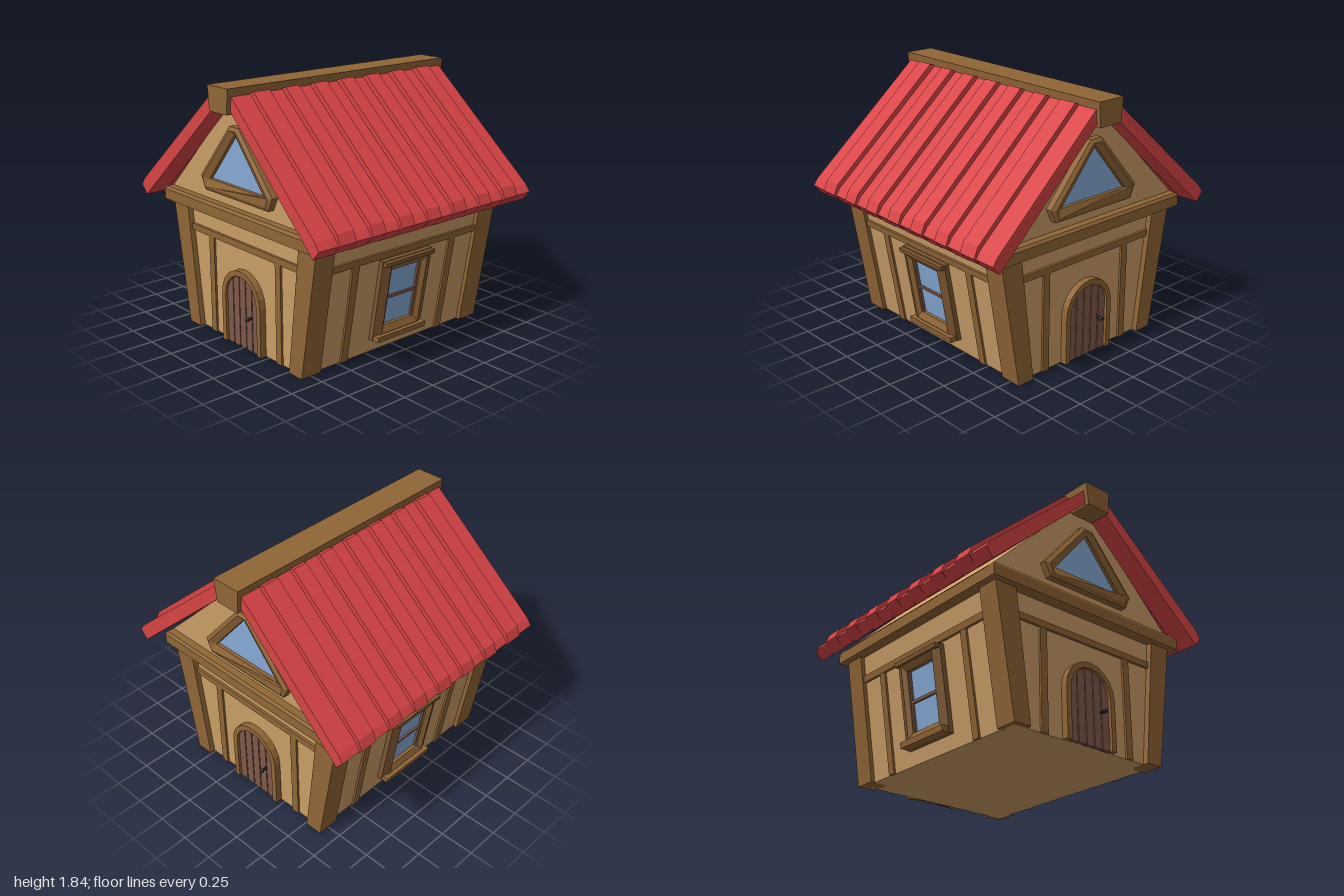
import * as THREE from 'three';

const COLORS = {
  plaster: 0xc99d66, wood: 0x8f6536, darkWood: 0x7c5630, roof: 0xd84446,
  glass: 0x86aad6, door: 0x80594a, groove: 0x3c2a22, iron: 0x2a2a2c,
};
const materials = {};
for (const key in COLORS) {
  materials[key] = new THREE.MeshStandardMaterial({ color: COLORS[key], flatShading: true });
}

const LEAN = 0.167; // outward lean of the side walls per unit of height

function add(group, name, geometry, material) {
  const mesh = new THREE.Mesh(geometry, materials[material]);
  mesh.name = name;
  group.add(mesh);
  return mesh;
}

function toShape(points) {
  return new THREE.Shape(points.map(([x, y]) => new THREE.Vector2(x, y)));
}

// Outline extruded along z from z0 to z1, optionally with a hole
function prism(points, z0, z1, hole) {
  const shape = toShape(points);
  if (hole) shape.holes.push(toShape(hole));
  return new THREE.ExtrudeGeometry(shape, { depth: z1 - z0, bevelEnabled: false }).translate(0, 0, z0);
}

const rect = (x0, x1, y0, y1) => [[x0, y0], [x1, y0], [x1, y1], [x0, y1]];
const mirrorX = (points) => points.map(([x, y]) => [-x, y]);

// Moves each vertex by a rule
function deform(geometry, rule) {
  const p = geometry.attributes.position;
  const v = new THREE.Vector3();
  for (let i = 0; i < p.count; i++) {
    rule(v.fromBufferAttribute(p, i));
    p.setXYZ(i, v.x, v.y, v.z);
  }
  geometry.computeVertexNormals();
  return geometry;
}

// Ring between two outlines whose front face slopes from outer depth to inner depth
function frameRing(outer, inner, zBack, zOuter, zInner) {
  const geometry = prism(outer, 0, 1, inner);
  return deform(geometry, (v) => {
    const onInner = inner.some(([x, y]) => Math.hypot(x - v.x, y - v.y) < 1e-4);
    v.z = v.z < 0.5 ? zBack : onInner ? zInner : zOuter;
  });
}

// Turns a front-facing part to the leaning +x wall
function toSide(geometry) {
  geometry.rotateY(Math.PI / 2).translate(0.61, 0, 0);
  return deform(geometry, (v) => { v.x += LEAN * v.y; });
}

function archOutline(radius, spring) {
  const points = [[-radius, 0], [radius, 0]];
  for (let i = 0; i <= 10; i++) {
    const a = (i / 10) * Math.PI;
    points.push([radius * Math.cos(a), spring + radius * Math.sin(a)]);
  }
  return points;
}

function createDoor() {
  const door = new THREE.Group();
  door.name = 'door';
  const spring = 0.35;
  const r = 0.175;
  const outer = archOutline(0.215, spring);
  const inner = archOutline(r, spring);
  // Open-bottomed arch made from one continuous outline
  const arch = [...outer.slice(1), [-0.215, 0], [-r, 0], ...inner.slice(2).reverse(), [r, 0]];
  add(door, 'doorFrame', prism(arch, 0.78, 0.838), 'wood');
  add(door, 'doorBacking', prism(inner, 0.78, 0.806), 'groove');
  // Planks cut to the arch
  const w = (2 * r) / 5;
  const top = (x) => spring + Math.sqrt(Math.max(0, r * r - x * x));
  for (let i = 0; i < 5; i++) {
    const a = -r + i * w + 0.004;
    const b = a + w - 0.008;
    const points = [[a, 0], [b, 0]];
    for (let j = 0; j <= 3; j++) {
      const x = b + ((a - b) * j) / 3;
      points.push([x, top(x) - 0.004]);
    }
    add(door, 'doorPlank', prism(points, 0.79, 0.82), 'door');
  }
  // Knob
  add(door, 'knobStem', new THREE.CylinderGeometry(0.007, 0.012, 0.04, 8)
    .rotateX(Math.PI / 2).translate(0.1, 0.25, 0.835), 'iron');
  add(door, 'knob', new THREE.SphereGeometry(0.016, 8, 6).translate(0.1, 0.25, 0.858), 'iron');
  return door;
}

function createGableWindow() {
  const win = new THREE.Group();
  win.name = 'gableWindow';
  const outer = [[-0.35, 1.07], [0.35, 1.07], [0.395, 1.165], [0.05, 1.56], [-0.05, 1.56], [-0.395, 1.165]];
  const middle = [[-0.335, 1.095], [0.335, 1.095], [0.36, 1.16], [0.035, 1.535], [-0.035, 1.535], [-0.36, 1.16]];
  const inner = [[-0.3, 1.155], [0.3, 1.155], [0, 1.51]];
  add(win, 'outerFrame', frameRing(outer, middle, 0.78, 0.855, 0.87), 'wood');
  add(win, 'innerFrame', frameRing(middle, inner, 0.78, 0.87, 0.85), 'wood');
  add(win, 'glass', prism(inner, 0.78, 0.825), 'glass');
  return win;
}

function createSideWindow() {
  const win = new THREE.Group();
  win.name = 'sideWindow';
  const outer = rect(-0.23, 0.23, 0.1, 0.695);
  const middle = rect(-0.17, 0.17, 0.145, 0.655);
  const inner = rect(-0.142, 0.142, 0.195, 0.615);
  const part = (name, geometry, material) => add(win, name, toSide(geometry), material);
  part('outerFrame', frameRing(outer, middle, -0.02, 0.035, 0.06), 'darkWood');
  part('innerFrame', frameRing(middle, inner, -0.02, 0.06, 0.035), 'wood');
  part('sill', prism(rect(-0.225, 0.225, 0.1, 0.14), 0, 0.088), 'wood');
  part('lintel', prism(rect(-0.225, 0.225, 0.66, 0.69), 0, 0.07), 'darkWood');
  part('glass', prism(inner, -0.02, 0.01), 'glass');
  part('crossbar', prism(rect(-0.142, 0.142, 0.393, 0.413), 0, 0.025), 'door');
  for (const s of [-1, 1]) {
    part('sash', prism(rect(s * 0.135 - 0.008, s * 0.135 + 0.008, 0.195, 0.615), 0, 0.025), 'door');
  }
  return win;
}

// One roof slope: alternating flush and raised planks, flaring toward the eave
function createRoofSlope() {
  const roof = new THREE.Group();
  roof.name = 'roofSlope';
  const flush = [[0.09, 1.69], [0.93, 0.93], [0.985, 0.995], [0.95, 1.045], [0.1, 1.79]];
  const raised = [[0.09, 1.69], [0.925, 0.93], [1, 1], [0.97, 1.07], [0.14, 1.805], [0.1, 1.79]];
  const edges = [-0.975, -0.82, -0.685, -0.55, -0.435, -0.305, -0.185, -0.06];
  const all = [...edges, ...edges.map((z) => -z).reverse()];
  for (let i = 0; i < all.length - 1; i++) {
    const high = i % 2 === 1;
    const geometry = prism(high ? raised : flush, all[i], all[i + 1]);
    deform(geometry, (v) => { v.z *= 0.965 + 0.035 * v.x; });
    add(roof, high ? 'raisedPlank' : 'flushPlank', geometry, 'roof');
  }
  return roof;
}

// Front wall, one side wall and one roof slope; turned half round for the rest
function createHalf() {
  const half = new THREE.Group();
  half.name = 'houseHalf';
  const post = [[0.51, 0], [0.64, 0], [0.79, 0.9], [0.62, 0.9]];
  add(half, 'cornerPost', prism(post, 0.67, 0.83), 'wood');
  add(half, 'cornerPost', prism(mirrorX(post), 0.67, 0.83), 'wood');

  // Timber strips on the front and side plaster
  add(half, 'frontRail', prism(rect(-0.61, 0.61, 0.71, 0.757), 0.78, 0.808), 'wood');
  add(half, 'sideRail', toSide(prism(rect(-0.68, 0.68, 0.71, 0.757), -0.01, 0.018)), 'wood');
  for (const s of [-1, 1]) {
    add(half, 'frontStud', prism(rect(s * 0.372 - 0.028, s * 0.372 + 0.028, 0, 0.71), 0.78, 0.805), 'wood');
    add(half, 'sideStud', toSide(prism(rect(s * 0.45 - 0.029, s * 0.45 + 0.029, 0, 0.71), -0.01, 0.015)), 'wood');
  }
  half.add(createDoor(), createGableWindow(), createSideWindow(), createRoofSlope());
  return half;
}

export function createModel() {
  const house = new THREE.Group();
  house.name = 'cottage';

  // Plaster body and gable
  add(house, 'walls', prism([[-0.61, 0], [0.61, 0], [0.76, 0.9], [-0.76, 0.9]], -0.79, 0.79), 'plaster');
  add(house, 'gable', prism([[-0.84, 0.98], [0.84, 0.98], [0.1, 1.7], [-0.1, 1.7]], -0.81, 0.81), 'plaster');

  // Beam slab between wall and gable, with a sloped upper rim
  add(house, 'beamSlab', new THREE.BoxGeometry(1.68, 0.075, 1.75).translate(0, 0.9375, 0), 'wood');
  const rim = deform(new THREE.BoxGeometry(1.68, 0.02, 1.75).translate(0, 0.985, 0), (v) => {
    if (v.y > 0.985) { v.x *= 0.985; v.z *= 0.985; }
  });
  add(house, 'beamRim', rim, 'wood');

  // Ridge beam
  add(house, 'ridgeBeam', prism([[-0.095, 1.67], [0.095, 1.67], [0.11, 1.84], [-0.11, 1.84]], -0.975, 0.975), 'wood');

  const front = createHalf();
  const back = createHalf();
  back.rotation.y = Math.PI;
  house.add(front, back);
  return house;
}
